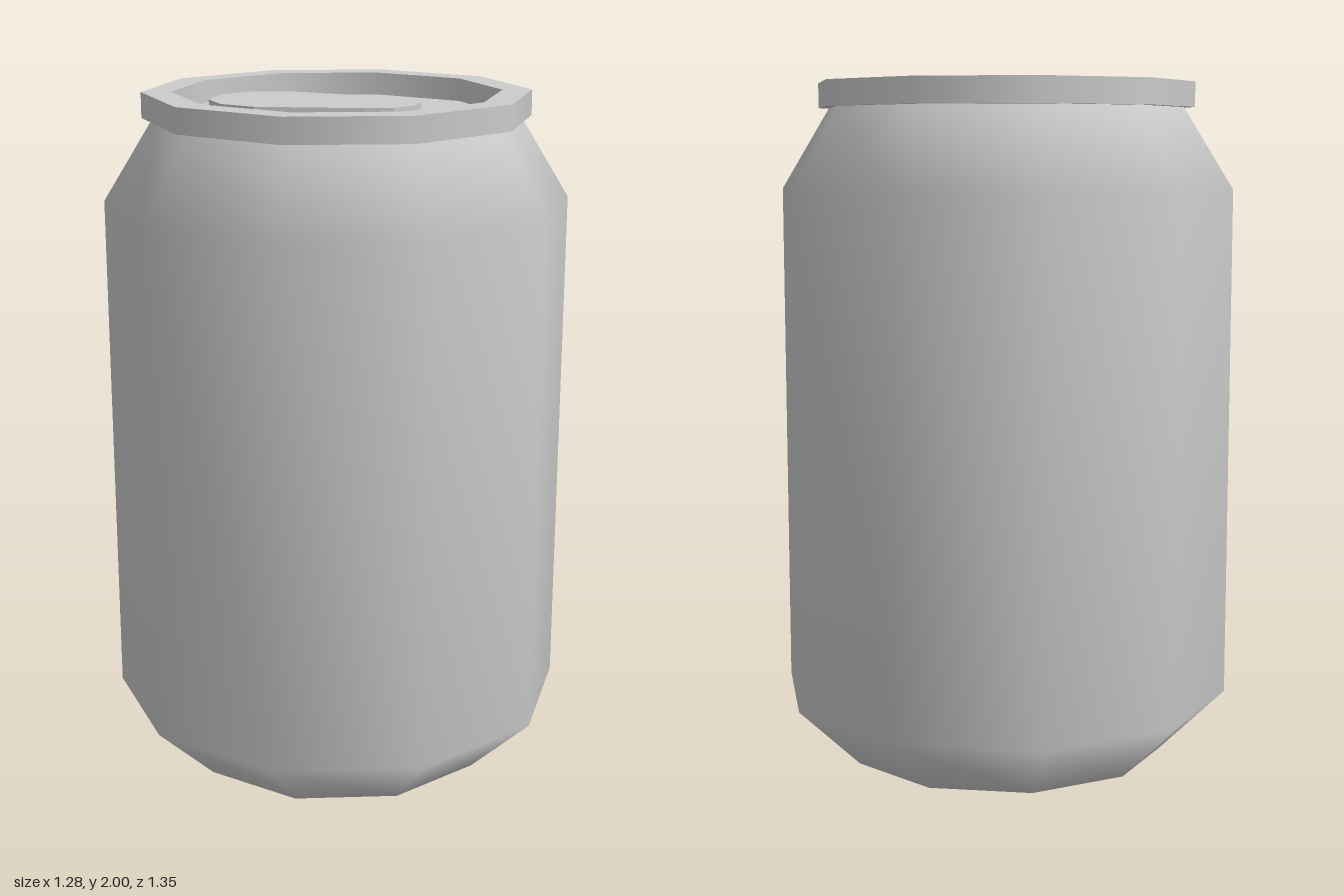
import * as THREE from 'three';

const SIDES = 10;

export function createModel() {
  const can = new THREE.Group();
  can.name = 'drinkCan';
  const material = new THREE.MeshStandardMaterial({ color: 0xcccccc });

  // Each band is smooth within itself; separate bands meet at hard edges.
  const band = (name, parent, ...profile) => {
    const points = profile.map(([r, y]) => new THREE.Vector2(r, y));
    const mesh = new THREE.Mesh(new THREE.LatheGeometry(points, SIDES), material);
    mesh.name = name;
    parent.add(mesh);
  };

  // Recessed base
  const base = new THREE.Group();
  base.name = 'base';
  band('baseFloor', base, [0, 0.05], [0.427, 0.05]);
  band('baseInnerWall', base, [0.427, 0.05], [0.427, 0]);
  band('baseRing', base, [0.427, 0], [0.483, 0]);
  can.add(base);

  // Body with tapered foot and shoulder
  band('body', can, [0.483, 0], [0.673, 0.185], [0.673, 1.69], [0.527, 1.927]);

  // Raised rim around the sunken lid
  const rim = new THREE.Group();
  rim.name = 'rim';
  band('rimUnderside', rim, [0.527, 1.927], [0.559, 1.927]);
  band('rimOuterWall', rim, [0.559, 1.927], [0.559, 2]);
  band('rimTop', rim, [0.559, 2], [0.473, 2]);
  band('rimInnerWall', rim, [0.473, 2], [0.473, 1.933]);
  can.add(rim);
  band('lid', can, [0.473, 1.933], [0, 1.933]);

  // Pull tab: half outline mirrored across its long axis
  const half = [[-0.367, 0.06], [-0.303, 0.147], [-0.195, 0.18], [0.11, 0.131], [0.188, 0.105], [0.234, 0.042]];
  const outline = [...half, ...half.map(([x, z]) => [x, -z]).reverse()];
  const shape = new THREE.Shape(outline.map(([x, z]) => new THREE.Vector2(x, z)));
  const tabGeometry = new THREE.ExtrudeGeometry(shape, { depth: 0.038, bevelEnabled: false });
  tabGeometry.rotateX(-Math.PI / 2);
  const tab = new THREE.Mesh(tabGeometry, material);
  tab.name = 'pullTab';
  tab.position.y = 1.933;
  can.add(tab);

  return can;
}
